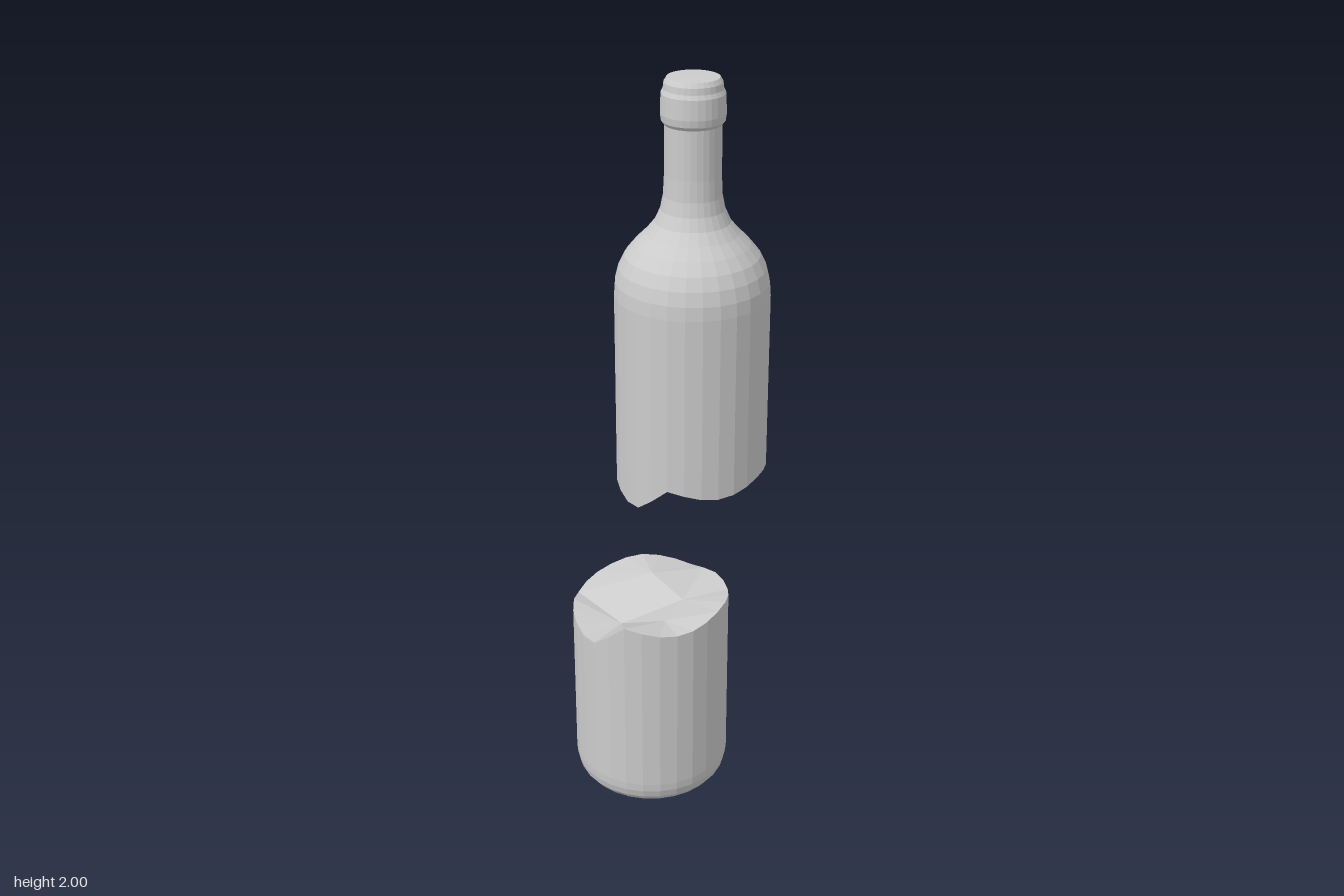
import * as THREE from 'three';

const SEG = 28;
const RADIUS = 0.223;
const GAP = 0.237; // vertical offset between the matching halves

// Height of the break around the rim, every 15 degrees from the front towards +x
const RIM = [0.612, 0.6, 0.587, 0.585, 0.595, 0.608, 0.61, 0.603, 0.588, 0.597, 0.587, 0.578,
  0.585, 0.592, 0.596, 0.585, 0.575, 0.565, 0.555, 0.563, 0.553, 0.54, 0.52, 0.562];
// Inner peaks and hollows of the break, with the angle (degrees) where each one's sector ends
const INNER = [
  { p: [-0.06, 0.53, 0.08], end: 0 },
  { p: [0.08, 0.585, 0.11], end: 70 },
  { p: [0.09, 0.58, -0.02], end: 150 },
  { p: [-0.03, 0.6, -0.1], end: 260 },
];

function rimHeight(i) {
  const t = ((i % SEG) / SEG) * RIM.length;
  const k = Math.floor(t);
  return THREE.MathUtils.lerp(RIM[k], RIM[(k + 1) % RIM.length], t - k);
}

function sector(i) {
  const deg = ((i % SEG) * 360) / SEG;
  if (deg < 70) return 1;
  if (deg < 150) return 2;
  return deg < 260 ? 3 : 0;
}

// Jagged solid face shared by both halves
function fractureGeometry(faceDown, lift) {
  const pos = [];
  const rim = (i) => {
    const a = ((i % SEG) / SEG) * Math.PI * 2;
    return [RADIUS * Math.sin(a), rimHeight(i), RADIUS * Math.cos(a)];
  };
  const tri = (a, b, c) => {
    for (const p of faceDown ? [a, c, b] : [a, b, c]) pos.push(p[0], p[1] + lift, p[2]);
  };
  const inner = INNER.map((n) => n.p);
  for (let i = 0; i < SEG; i++) {
    const s = sector(i), next = sector(i + 1);
    tri(rim(i), rim(i + 1), inner[s]);
    if (next !== s) tri(rim(i + 1), inner[next], inner[s]);
  }
  tri(inner[0], inner[1], inner[2]);
  tri(inner[0], inner[2], inner[3]);
  const geo = new THREE.BufferGeometry();
  geo.setAttribute('position', new THREE.Float32BufferAttribute(pos, 3));
  geo.computeVertexNormals();
  return geo;
}

// Lathe wall whose profile point rimIndex follows the break
function wallGeometry(profile, rimIndex, lift) {
  const geo = new THREE.LatheGeometry(profile.map(([x, y]) => new THREE.Vector2(x, y)), SEG);
  const pos = geo.attributes.position;
  for (let i = 0; i <= SEG; i++) pos.setY(i * profile.length + rimIndex, rimHeight(i) + lift);
  geo.computeVertexNormals();
  return geo;
}

export function createModel() {
  const material = new THREE.MeshStandardMaterial({ color: 0xcccccc, flatShading: true });
  const model = new THREE.Group();
  model.name = 'brokenBottle';

  const addHalf = (name, z, profile, rimIndex, lift, faceDown) => {
    const half = new THREE.Group();
    half.name = name;
    half.position.z = z;
    const wall = new THREE.Mesh(wallGeometry(profile, rimIndex, lift), material);
    wall.name = name + 'Wall';
    const face = new THREE.Mesh(fractureGeometry(faceDown, lift), material);
    face.name = name + 'Fracture';
    half.add(wall, face);
    model.add(half);
  };

  // Base half: hollowed underside, rounded heel, straight wall
  const base = [[0, 0.06], [0.06, 0.053], [0.105, 0.03], [0.135, 0.008], [0.155, 0], [0.175, 0.004],
    [0.198, 0.016], [0.214, 0.036], [0.221, 0.06], [RADIUS, 0.085], [RADIUS, 0.6]];
  addHalf('lowerHalf', 0.185, base, base.length - 1, 0, false);

  // Neck half: straight wall, shoulder, neck, collar and closed mouth
  const top = [[RADIUS, 0.8], [RADIUS, 1.38], [0.22, 1.42], [0.21, 1.46], [0.192, 1.497], [0.165, 1.53],
    [0.133, 1.562], [0.107, 1.594], [0.091, 1.63], [0.083, 1.67], [0.08, 1.73], [0.08, 1.87],
    [0.088, 1.88], [0.091, 1.9], [0.089, 1.955], [0.083, 1.967], [0.081, 1.985], [0.073, 1.998], [0, 2]];
  addHalf('upperHalf', -0.185, top, 0, GAP, true);

  return model;
}
